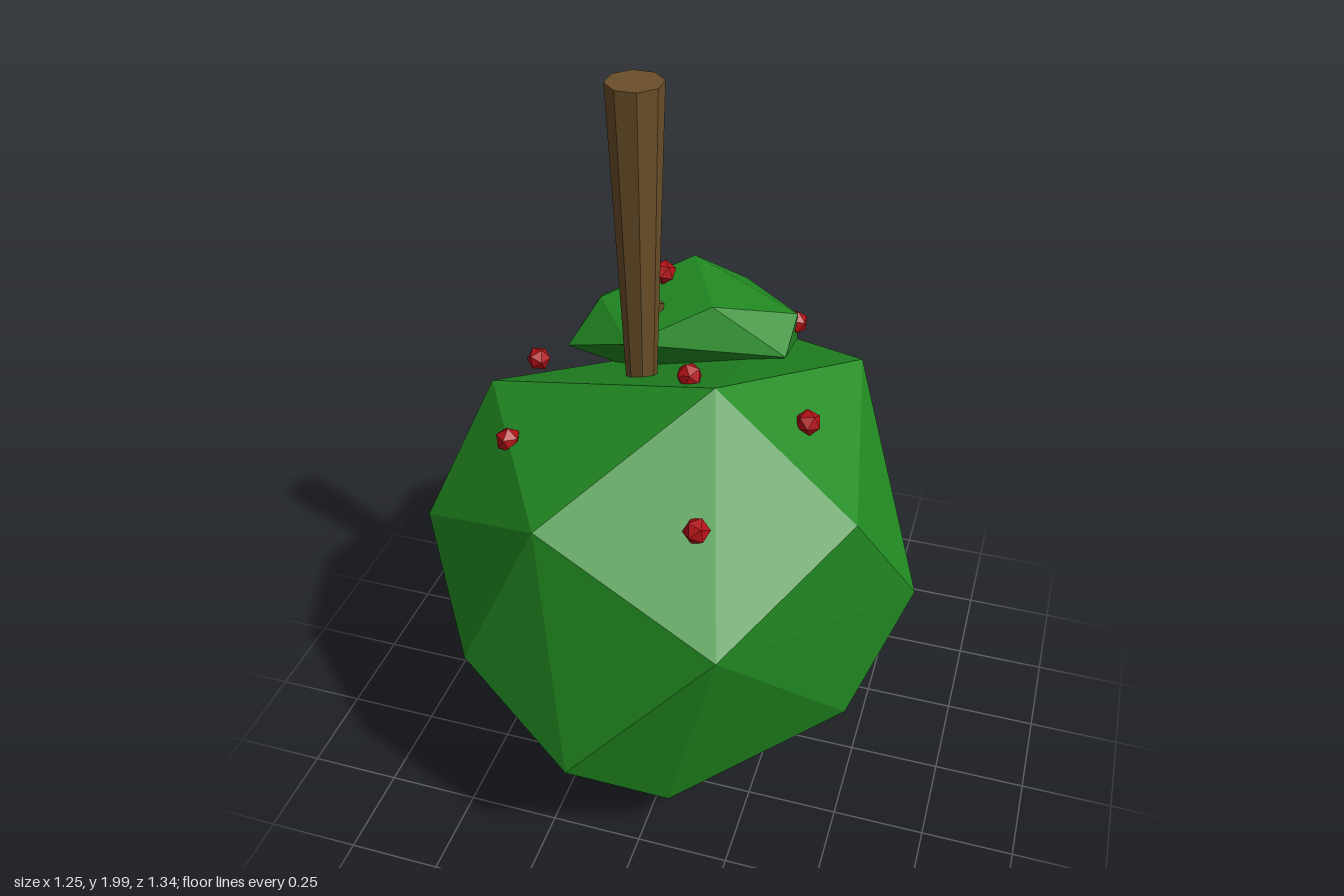
import * as THREE from 'three';
import { ConvexGeometry } from 'three/addons/geometries/ConvexGeometry.js';

const material = (color) => new THREE.MeshStandardMaterial({ color, flatShading: true });
const vec = (p) => new THREE.Vector3(...p);

// Corner points of the large faceted ball, from the top down
const CROWN = [
  [0.12, 1.35, 0.2], [0.39, 1.19, -0.275], [-0.53, 1.155, 0.055], [-0.215, 1.115, 0.565],
  [0.49, 1.045, 0.235], [0.08, 0.98, -0.67], [-0.61, 0.95, -0.24], [-0.63, 0.87, 0.3],
  [0.245, 0.865, 0.61], [0.625, 0.66, -0.005], [-0.435, 0.645, 0.56], [-0.325, 0.565, -0.6],
  [0.425, 0.555, -0.54], [-0.13, 0.43, 0.67], [-0.585, 0.325, 0], [0.49, 0.32, 0.155],
  [0.14, 0.275, -0.535], [-0.415, 0.25, -0.335], [-0.46, 0.19, 0.29], [0.08, 0.18, 0.475],
  [0.14, 0.01, -0.035],
];

// Corner points of the small cluster at the back
const CLUSTER = [
  [0, 1.33, -0.19], [-0.14, 1.3, -0.5], [-0.34, 1.26, -0.27], [-0.19, 1.26, -0.06],
  [0.19, 1.24, -0.37], [0.19, 1.18, -0.24], [-0.01, 1.2, -0.59], [-0.385, 1.19, -0.39],
  [-0.395, 1.165, -0.15], [0.165, 1.08, -0.5], [-0.23, 1.02, -0.56], [-0.05, 0.98, -0.3],
];

const BERRIES = [
  [-0.18, 1.325, -0.34], [0.18, 1.195, -0.4], [-0.2, 1.06, -0.56], [-0.505, 1.075, -0.195],
  [0.03, 1.315, 0.115], [0.325, 1.215, 0.085], [-0.395, 1.14, 0.27], [0.145, 1.105, 0.435],
];

export function createModel() {
  const group = new THREE.Group();
  const leaf = material(0x228b22);
  const wood = material(0x6b4f2a);
  const red = material(0xb01015);

  const add = (name, geometry, mat) => {
    const mesh = new THREE.Mesh(geometry, mat);
    mesh.name = name;
    group.add(mesh);
    return mesh;
  };

  // Tapered eight-sided limb between two points
  const limb = (name, from, to, rFrom, rTo, sides) => {
    const a = vec(from), b = vec(to);
    const mesh = add(name, new THREE.CylinderGeometry(rTo, rFrom, a.distanceTo(b), sides), wood);
    mesh.position.copy(a).lerp(b, 0.5);
    mesh.quaternion.setFromUnitVectors(new THREE.Vector3(0, 1, 0), b.sub(a).normalize());
    return mesh;
  };

  // Foliage
  add('crown', new ConvexGeometry(CROWN.map(vec)), leaf);
  add('smallCluster', new ConvexGeometry(CLUSTER.map(vec)), leaf);

  // Trunk widening upward, with a short branch into the small cluster
  limb('trunk', [-0.133, 1.1, 0], [-0.133, 2, 0], 0.036, 0.07, 8).rotateY(Math.PI / 8);
  limb('branch', [-0.133, 1.41, 0.01], [-0.155, 1.28, -0.24], 0.038, 0.012, 6);

  // Berries, each turned a little differently
  const berry = new THREE.IcosahedronGeometry(0.034, 0);
  BERRIES.forEach((p, i) => {
    const mesh = add(`berry${i + 1}`, berry, red);
    mesh.position.set(...p);
    mesh.rotation.set(0.55, i * 1.3, 0);
  });

  return group;
}
